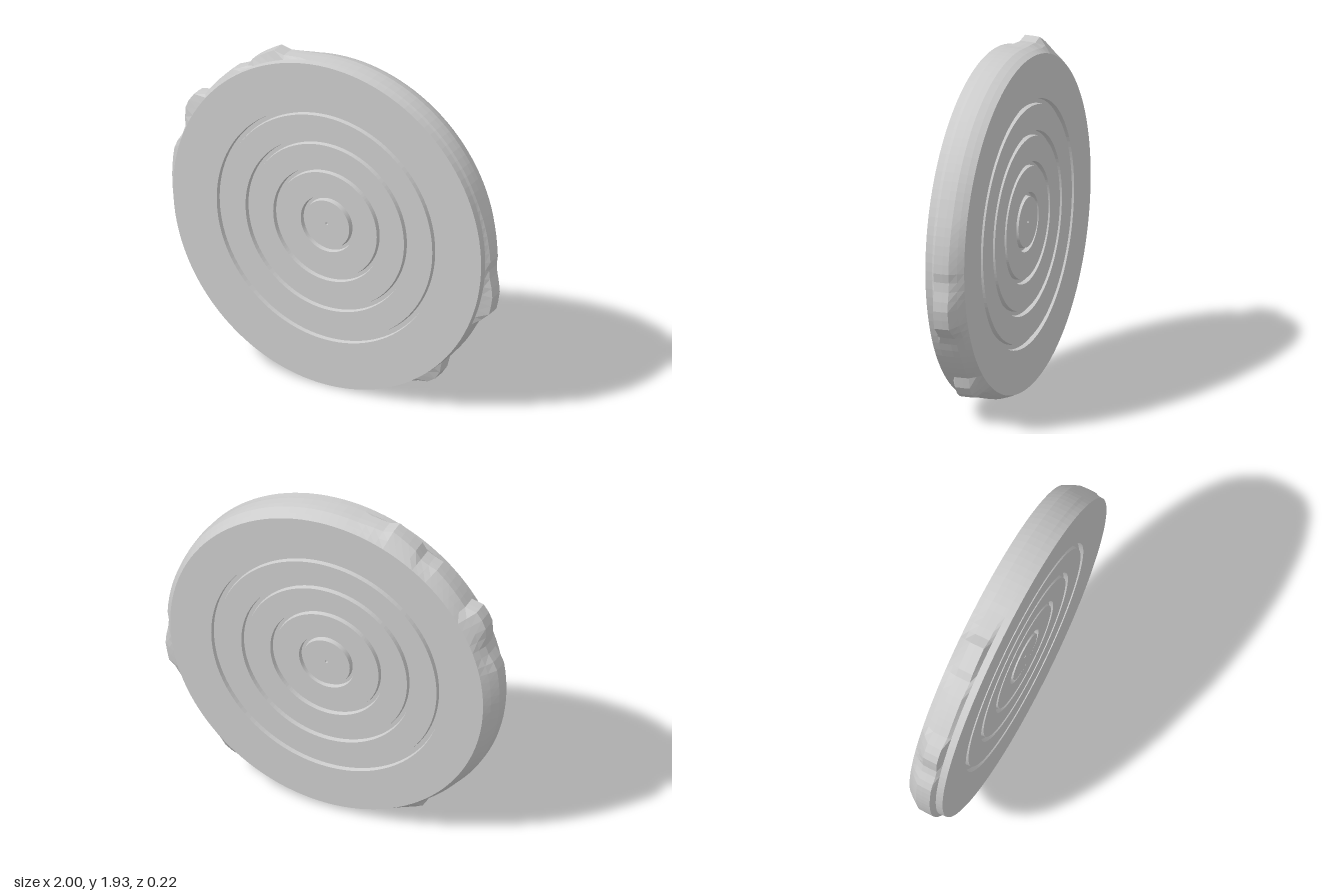
import * as THREE from 'three';

const SEGMENTS = 120;
const HALF = 0.108;      // half thickness of the disc
const BASE = 0.965;      // plain rim radius
const DEPTH = 0.025;     // groove depth

// Rim outline: angle in degrees (counter-clockwise from +x) and radius, with the worn lumps
const OUTLINE = [
  [-176, 0.998], [-151, 0.985], [-140, 0.968], [-126, 0.967], [-122.5, 1.0], [-114, 0.966],
  [-58.5, 0.965], [-55, 1.01], [-49, 1.02], [-46, 0.965], [-25, 0.965], [-22, 0.985],
  [-19, 1.03], [-11, 1.02], [-8, 1.0], [-4, 0.978], [0, 0.987], [20, 0.97], [100, 0.965],
  [108, 0.985], [111, 1.02], [120, 1.0], [124, 0.966], [128, 0.995], [144, 0.983],
  [147.5, 1.04], [154, 1.03], [158, 0.985], [162, 0.985], [167, 1.01], [184, 0.998],
];

function outlineRadius(deg) {
  const a = deg < -176 ? deg + 360 : deg;
  for (let i = 1; i < OUTLINE.length; i++) {
    const [a0, r0] = OUTLINE[i - 1], [a1, r1] = OUTLINE[i];
    if (a <= a1) return r0 + (r1 - r0) * (a - a0) / (a1 - a0);
  }
  return BASE;
}

// How much of the lumpy outline applies at a given depth
function lumpWeight(z) {
  if (z > 0.06 || z < -0.1) return 0;
  return z < -0.05 ? 0.45 : 1;
}

// Turn a profile of [radius, z] about the z axis, shape the rim and facet it
function turned(profile, material, name, lumpy = false) {
  const points = profile.map(([r, z]) => new THREE.Vector2(r, z));
  let geo = new THREE.LatheGeometry(points, SEGMENTS);
  geo.rotateX(Math.PI / 2);
  const p = geo.attributes.position;
  for (let i = 0; i < p.count; i++) {
    let x = p.getX(i), y = p.getY(i);
    const r = Math.hypot(x, y);
    if (lumpy) {
      const angle = THREE.MathUtils.radToDeg(Math.atan2(y, x));
      const k = 1 + lumpWeight(p.getZ(i)) * (outlineRadius(angle) - BASE) / r;
      x *= k;
      y *= k;
    }
    // inner rings sit slightly above the rim centre
    p.setXY(i, x - 0.005, y + 0.97 + 0.017 * Math.max(0, 1 - r / 0.69));
  }
  geo = geo.toNonIndexed();
  geo.computeVertexNormals();
  const mesh = new THREE.Mesh(geo, material);
  mesh.name = name;
  return mesh;
}

// Face profile from the rim to the pin hole, with four ring grooves
function faceProfile(edge) {
  const profile = [[edge, HALF]];
  for (const [outer, inner] of [[0.69, 0.657], [0.51, 0.48], [0.337, 0.31], [0.165, 0.14]]) {
    const top = inner < 0.2 ? HALF + 0.004 : HALF;
    profile.push([outer, HALF], [outer - 0.004, HALF - DEPTH],
      [inner + 0.004, HALF - DEPTH], [inner, top]);
  }
  profile.push([0.008, HALF + 0.004], [0.008, HALF - DEPTH], [0, HALF - DEPTH]);
  return profile;
}

export function createModel() {
  const stone = new THREE.MeshStandardMaterial({ color: 0xcccccc });
  stone.name = 'stoneGrey';

  const group = new THREE.Group();
  group.name = 'stoneDisc';

  // grooved faces
  group.add(turned(faceProfile(0.962), stone, 'frontFace'));
  const back = faceProfile(0.935).map(([r, z]) => [r, -z]).reverse();
  group.add(turned(back, stone, 'backFace'));

  // rounded, worn rim
  group.add(turned([
    [0.935, -HALF], [0.95, -0.075], [0.963, -0.035], [0.965, 0],
    [0.965, 0.05], [0.965, 0.068], [0.962, HALF],
  ], stone, 'wornRim', true));

  return group;
}
